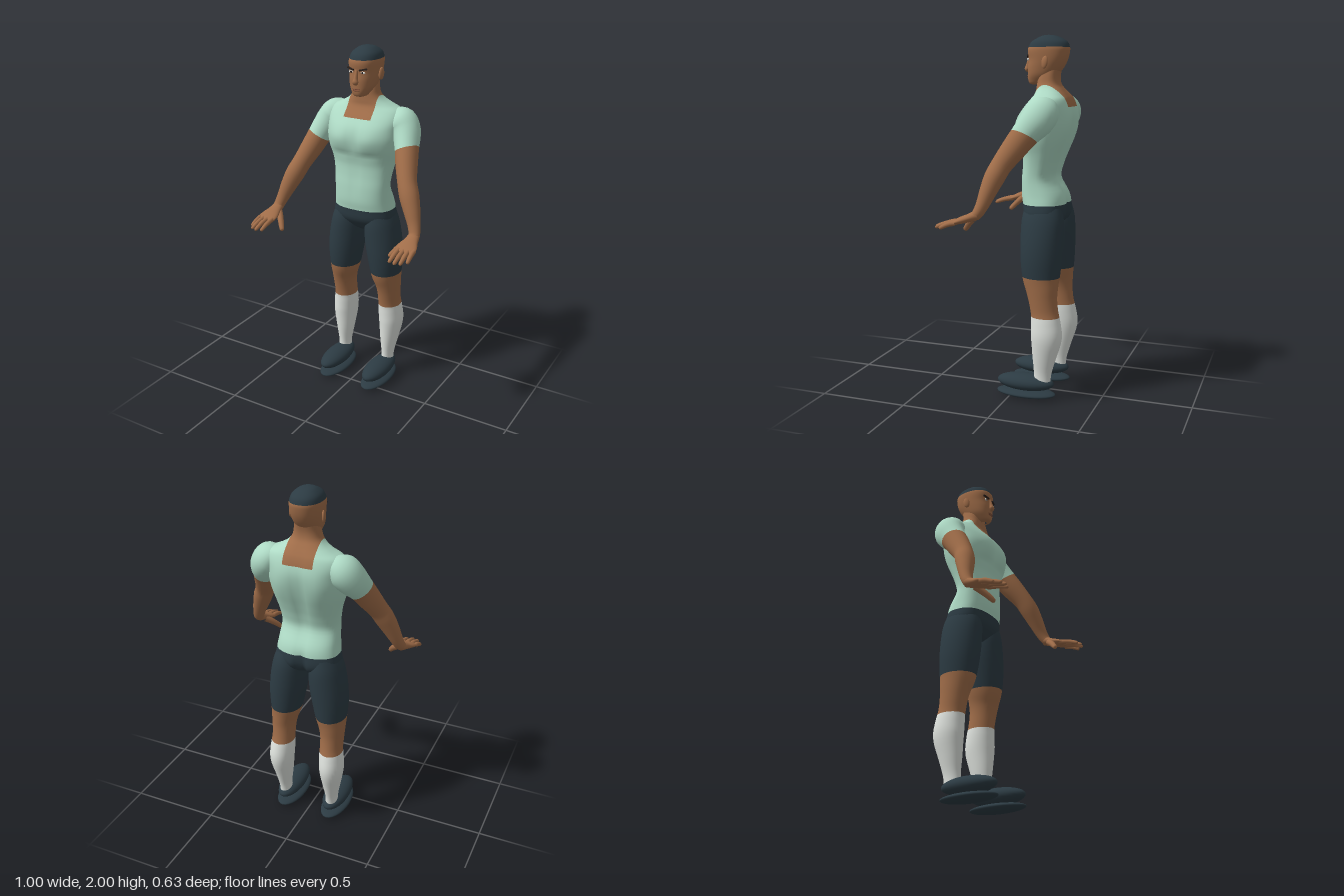
import * as THREE from 'three';

const material = (name, color) => {
  const m = new THREE.MeshStandardMaterial({ color });
  m.name = name;
  return m;
};

// Catmull-Rom interpolation of every column of a table of sections
function refine(rows, sub) {
  const out = [], last = rows.length - 1;
  for (let k = 0; k <= last * sub; k++) {
    const i = Math.min(Math.floor(k / sub), last - 1), t = k / sub - i;
    const [a, b, c, d] = [i - 1, i, i + 1, i + 2].map(n => rows[Math.min(Math.max(n, 0), last)]);
    out.push(b.map((_, n) => b[n] + 0.5 * t * (c[n] - a[n] +
      t * (2 * a[n] - 5 * b[n] + 4 * c[n] - d[n] + t * (3 * (b[n] - c[n]) + d[n] - a[n])))));
  }
  return out;
}

// Skin closed rings of points into a smooth surface
function skin(rings) {
  const seg = rings[0].length, index = [];
  for (let i = 0; i < rings.length - 1; i++) for (let j = 0; j < seg; j++) {
    const a = i * seg + j, b = i * seg + (j + 1) % seg;
    index.push(a, a + seg, b, b, a + seg, b + seg);
  }
  const g = new THREE.BufferGeometry();
  g.setAttribute('position', new THREE.Float32BufferAttribute(rings.flat(2), 3));
  g.setIndex(index);
  g.computeVertexNormals();
  return g;
}

const angles = n => Array.from({ length: n }, (_, j) => j / n * Math.PI * 2);
const soft = (v, e) => Math.sign(v) * Math.abs(v) ** e;

// Level rings: [y, half width, front z, back z], listed upwards
const stack = (rows, power, shape = p => p) => skin(refine(rows, 4).map(([y, w, f, b]) =>
  angles(48).map(t => shape([w * soft(Math.cos(t), power), y,
    (f + b) / 2 + (f - b) / 2 * soft(Math.sin(t), power)]))));

// Rings square to a path: [x, y, z, radius across, radius through]
function sweep(rows, seg = 24, sub = 4) {
  const r = refine(rows, sub), at = i => new THREE.Vector3(...r[Math.min(Math.max(i, 0), r.length - 1)]);
  return skin(r.map((row, i) => {
    const T = at(i + 1).sub(at(i - 1)).normalize();
    const u = new THREE.Vector3(1, 0, 0).addScaledVector(T, -T.x).normalize();
    const v = u.clone().cross(T);
    return angles(seg).map(t => at(i).addScaledVector(u, row[3] * Math.cos(t))
      .addScaledVector(v, row[4] * Math.sin(t)).toArray());
  }));
}

// Cut a geometry where dist(x, y, z) changes sign: [negative side, positive side]
function slice(geo, dist) {
  const g = geo.index ? geo.toNonIndexed() : geo, P = g.attributes.position, N = g.attributes.normal;
  return [-1, 1].map(side => {
    const pos = [], nor = [];
    for (let i = 0; i < P.count; i += 3) {
      const tri = [i, i + 1, i + 2].map(k => [P.getX(k), P.getY(k), P.getZ(k), N.getX(k), N.getY(k), N.getZ(k)]);
      const poly = [];
      tri.forEach((a, k) => {
        const b = tri[(k + 1) % 3], da = side * dist(...a), db = side * dist(...b);
        if (da >= 0) poly.push(a);
        if (da * db < 0) poly.push(a.map((v, n) => v + (b[n] - v) * da / (da - db)));
      });
      for (let k = 1; k < poly.length - 1; k++) for (const v of [poly[0], poly[k], poly[k + 1]]) {
        pos.push(...v.slice(0, 3));
        nor.push(...v.slice(3));
      }
    }
    const out = new THREE.BufferGeometry();
    out.setAttribute('position', new THREE.Float32BufferAttribute(pos, 3));
    out.setAttribute('normal', new THREE.Float32BufferAttribute(nor, 3));
    return out;
  });
}

function flipX(geo) {
  const g = geo.index ? geo.toNonIndexed() : geo.clone(), n = g.attributes.position.count;
  for (const key of ['position', 'normal']) {
    const a = g.attributes[key];
    for (let i = 0; i < n; i++) a.setX(i, -a.getX(i));
  }
  g.setIndex(Array.from({ length: n }, (_, i) => i % 3 === 0 ? i : i % 3 === 1 ? i + 1 : i - 1));
  return g;
}

const ball = (x, y, z, rx, ry, rz) => new THREE.SphereGeometry(1, 28, 18).scale(rx, ry, rz).translate(x, y, z);
const bump = (v, c, r) => Math.exp(-(((v - c) / r) ** 2));

export function createModel() {
  const model = new THREE.Group();
  model.name = 'standingMan';
  const skinTone = material('skin', 0xa06d49), shirt = material('mint shirt', 0xaedac5);
  const slate = material('dark slate', 0x2c3b43), sock = material('sock white', 0xdfe3de);
  const dark = material('brow dark', 0x2a211d), white = material('eye white', 0xe6e4de);
  const lip = material('lips', 0x82513a);

  const add = (name, geo, mat) => {
    const m = new THREE.Mesh(geo, mat);
    m.name = name;
    model.add(m);
  };
  const pair = (name, geo, mat) => {
    add(name + 'Left', geo, mat);
    add(name + 'Right', flipX(geo), mat);
  };

  // Torso with chest, belly and spine modelling
  const torso = stack([
    [.955, .03, -.12, -.20], [.98, .13, -.09, -.25], [1.03, .183, -.052, -.287], [1.095, .178, -.043, -.287],
    [1.15, .170, -.035, -.273], [1.23, .164, -.037, -.228], [1.30, .170, -.043, -.24], [1.37, .184, -.042, -.265],
    [1.44, .204, -.02, -.29], [1.51, .215, -.01, -.308], [1.57, .215, -.022, -.315], [1.62, .218, -.056, -.308],
    [1.66, .20, -.09, -.293], [1.685, .15, -.105, -.276], [1.71, .108, -.108, -.256], [1.74, .081, -.11, -.235],
    [1.78, .07, -.115, -.23], [1.83, .06, -.13, -.24],
  ], .82, ([x, y, z]) => {
    const ax = Math.abs(x);
    if (z > -.14) {
      z += .012 * bump(ax, .09, .06) * bump(y, 1.51, .06) - .008 * bump(x, 0, .02) * bump(y, 1.5, .09)
        - .008 * bump(y, 1.42, .02) * bump(ax, .08, .08) - .004 * bump(x, 0, .015) * bump(y, 1.27, .1);
    } else {
      z += .018 * bump(x, 0, .03) * bump(y, 1.4, .2) + .03 * bump(x, 0, .025) * bump(y, 1.02, .08)
        - .01 * bump(ax, .11, .05) * bump(y, 1.5, .1);
    }
    return [x, y, z];
  });
  const [pelvis, trunk] = slice(torso, (x, y) => y - 1.095);
  const [body, yoke] = slice(trunk, (x, y) => y - 1.62);
  const [neck, shoulders] = slice(yoke, x => Math.abs(x) - .084);
  add('shortsSeat', pelvis, slate);
  add('shirtBody', body, shirt);
  add('shirtShoulders', shoulders, shirt);
  add('neckAndOpenCollar', neck, skinTone);

  // Legs: sock, bare knee, shorts
  const leg = sweep([
    [.147, .08, -.185, .036, .05], [.15, .15, -.19, .035, .05], [.153, .25, -.20, .052, .068],
    [.157, .36, -.213, .068, .087], [.153, .44, -.208, .068, .083], [.15, .50, -.20, .064, .077],
    [.15, .57, -.19, .066, .080], [.147, .63, -.183, .073, .09], [.138, .70, -.175, .087, .105],
    [.130, .80, -.172, .10, .115], [.118, .90, -.172, .104, .119], [.105, 1.0, -.172, .096, .118],
    [.095, 1.07, -.17, .08, .105],
  ], 32);
  const [sockGeo, upperLeg] = slice(leg, (x, y) => y - .48);
  const [knee, shortsLeg] = slice(upperLeg, (x, y) => y - .70);
  pair('sock', sockGeo, sock);
  pair('knee', knee, skinTone);
  pair('shortsLeg', shortsLeg, slate);

  // Shoes
  pair('shoeUpper', ball(.145, .087, -.088, .07, .048, .166), slate);
  pair('shoeSole', ball(.143, .024, -.09, .078, .024, .172), slate);

  // Arms, cut square at the sleeve hem
  const arm = sweep([
    [.15, 1.625, -.2, .05, .06], [.2, 1.602, -.2, .082, .09], [.24, 1.555, -.182, .08, .09],
    [.274, 1.485, -.128, .066, .074], [.302, 1.41, -.075, .06, .066], [.335, 1.33, -.022, .053, .056],
    [.365, 1.265, .008, .054, .054], [.395, 1.195, .032, .046, .045], [.42, 1.13, .053, .036, .035],
    [.435, 1.085, .075, .031, .029], [.438, 1.065, .10, .03, .024],
  ]);
  const [sleeve, bareArm] = slice(arm, (x, y, z) => .4 * (x - .278) - .8 * (y - 1.475) + .3 * (z + .12));
  pair('sleeve', sleeve, shirt);
  pair('forearm', bareArm, skinTone);

  // Hands
  pair('palm', sweep([
    [.436, 1.08, .07, .029, .027], [.438, 1.06, .12, .04, .022], [.44, 1.047, .16, .053, .019],
    [.443, 1.037, .19, .055, .014], [.444, 1.032, .208, .045, .008], [.444, 1.031, .212, .005, .002],
  ]), skinTone);
  const digit = (x0, y0, z0, x1, y1, z1, r) => sweep([0, .3, .6, .9, .97, 1].map((t, i) => {
    const q = r * [1, 1, .92, .75, .5, .05][i];
    return [x0 + (x1 - x0) * t, y0 + (y1 - y0) * t + .006 * Math.sin(t * Math.PI), z0 + (z1 - z0) * t, q, q];
  }), 12, 2);
  [[.485, .493, .268], [.46, .468, .302], [.434, .438, .312], [.405, .405, .302]].forEach(([x0, x1, z1], i) =>
    pair('finger' + (i + 1), digit(x0, 1.036, .18, x1, 1.003, z1, .0135), skinTone));
  pair('thumb', digit(.415, 1.055, .105, .343, .975, .185, .018), skinTone);

  // Head and close cropped hair
  const head = stack([
    [1.735, .015, -.085, -.12], [1.742, .035, -.062, -.15], [1.76, .05, -.054, -.19], [1.79, .067, -.053, -.22],
    [1.83, .077, -.053, -.252], [1.87, .083, -.058, -.272], [1.91, .086, -.053, -.282], [1.935, .084, -.057, -.282],
    [1.965, .073, -.075, -.268], [1.988, .047, -.115, -.228], [1.997, .024, -.14, -.197], [2, .001, -.165, -.168],
  ], .9);
  const [face, hair] = slice(head, (x, y) => y - 1.935);
  add('face', face, skinTone);
  add('hair', hair, slate);

  // Facial features
  add('nose', sweep([
    [0, 1.81, -.06, .004, .004], [0, 1.812, -.05, .014, .01], [0, 1.822, -.046, .017, .015],
    [0, 1.84, -.05, .011, .012], [0, 1.885, -.06, .008, .008],
  ], 16), skinTone);
  add('upperLip', ball(0, 1.782, -.055, .024, .004, .007), lip);
  add('lowerLip', ball(0, 1.774, -.055, .02, .005, .007), lip);
  pair('ear', ball(0, 0, 0, .01, .034, .019).rotateY(-.3).rotateX(-.15).translate(.088, 1.855, -.172), skinTone);
  pair('eye', ball(.036, 1.871, -.064, .014, .0065, .006), white);
  pair('iris', ball(.035, 1.871, -.0595, .006, .006, .003), dark);
  pair('eyebrow', new THREE.BoxGeometry(.044, .008, .009).rotateZ(.2).rotateY(.3).translate(.038, 1.888, -.061), dark);
  return model;
}
